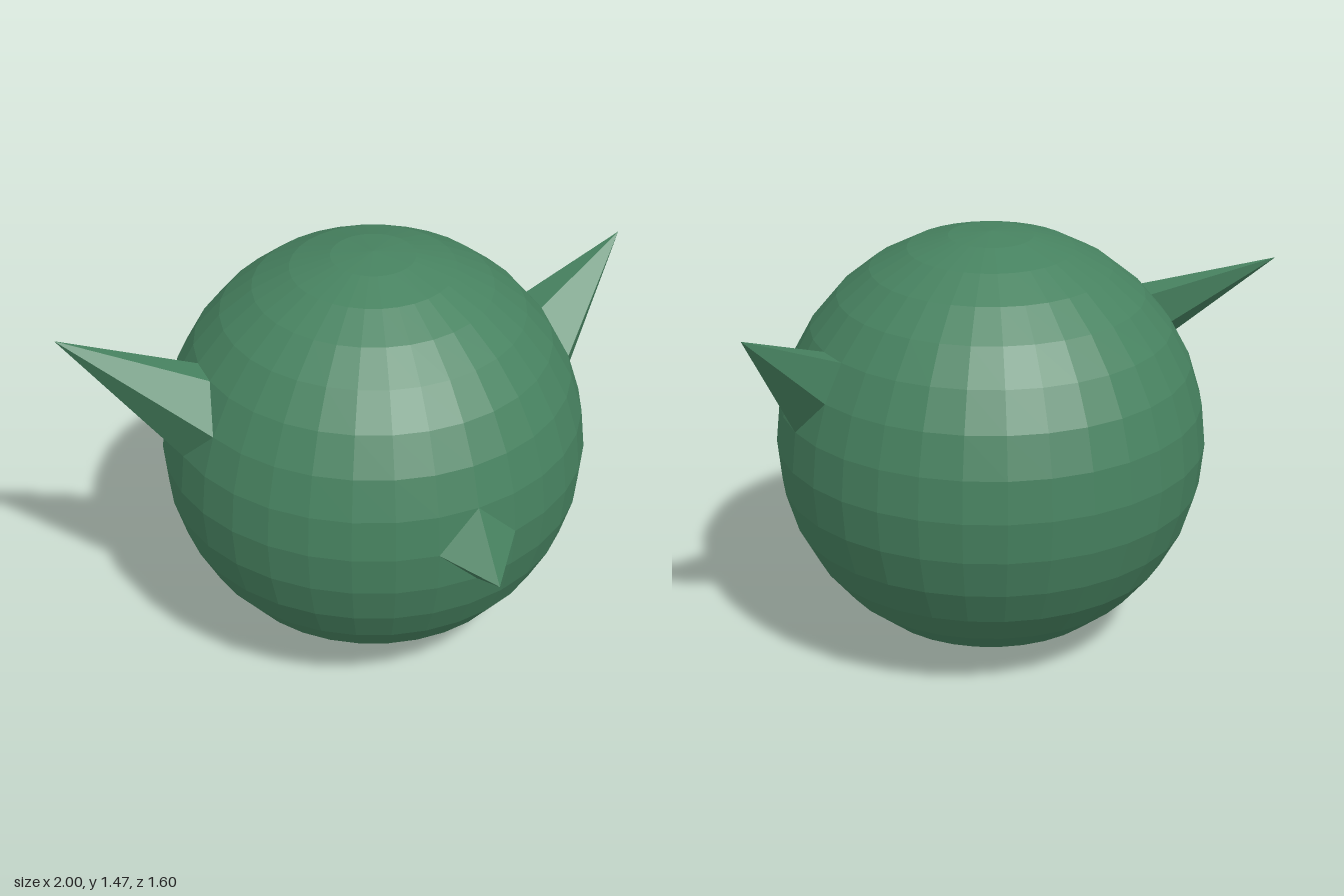
import * as THREE from 'three';

const R = 0.735;
const STEP = Math.PI / 16;
const CENTER = new THREE.Vector3(0.026, 0.736, -0.066);

// Point on the ball's grid: i steps round from the front towards +x, j steps above the equator
function gridPoint(i, j) {
  const az = i * STEP, lat = j * STEP;
  return new THREE.Vector3(
    Math.sin(az) * Math.cos(lat), Math.sin(lat), Math.cos(az) * Math.cos(lat)
  ).multiplyScalar(R).add(CENTER);
}

// Spike drawn out of the grid point (i, j); offsets run anticlockwise round its base
function spike(name, material, tip, i, j, offsets) {
  const base = offsets.map(([di, dj]) => gridPoint(i + di, j + dj));
  const points = [];
  base.forEach((p, k) => points.push(new THREE.Vector3(...tip), p, base[(k + 1) % base.length]));
  const geometry = new THREE.BufferGeometry().setFromPoints(points);
  geometry.computeVertexNormals();
  const mesh = new THREE.Mesh(geometry, material);
  mesh.name = name;
  return mesh;
}

export function createModel() {
  const group = new THREE.Group();
  group.name = 'roundCreature';
  const green = new THREE.MeshStandardMaterial({ color: 0x478260 });
  green.name = 'green';
  green.flatShading = true;

  // Faceted ball body
  const body = new THREE.Mesh(new THREE.SphereGeometry(R, 32, 16), green);
  body.name = 'body';
  body.position.copy(CENTER);
  group.add(body);

  // Nose and the two uneven ears
  group.add(
    spike('nose', green, [0.026, 0.655, 0.8], 0, 0, [[1, 0], [0, 1], [-1, 0], [0, -1]]),
    spike('leftEar', green, [1, 1.297, -0.05], 7, 2, [[1, 0], [1, 1], [0, 1], [-1, 0], [0, -1]]),
    spike('rightEar', green, [-1, 1.25, -0.38], -8, 2, [[1, 0], [0, 1], [-1, 1], [-1, 0], [0, -1]])
  );
  return group;
}
